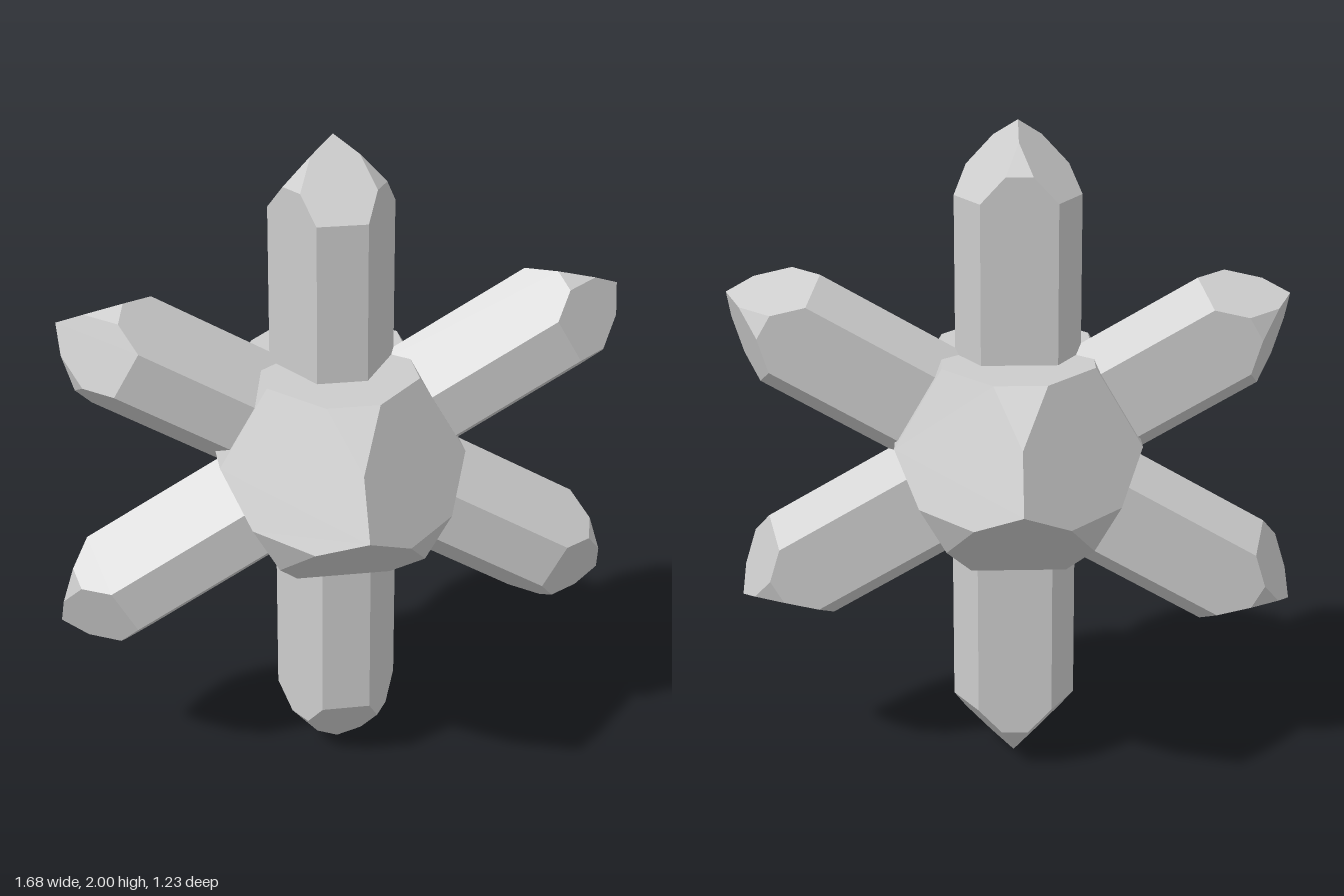
import * as THREE from 'three';
import { ConvexGeometry } from 'three/addons/geometries/ConvexGeometry.js';

// Six-sided crystal along y with alternating wide and narrow sides.
// Each tip has three main facets and three small facets between them.
function crystalGeometry({ wide, narrow, tip, slope, extra, doubleEnded }) {
  const planes = []; // n . p <= d
  for (let k = 0; k < 6; k++) {
    const a = k * Math.PI / 3, major = k % 2 === 0;
    const x = Math.sin(a), z = Math.cos(a), d = tip + (major ? 0 : extra);
    planes.push({ n: new THREE.Vector3(x, 0, z), d: major ? narrow : wide });
    planes.push({ n: new THREE.Vector3(x * slope, 1, z * slope), d });
    if (doubleEnded) planes.push({ n: new THREE.Vector3(x * slope, -1, z * slope), d });
  }
  if (!doubleEnded) planes.push({ n: new THREE.Vector3(0, -1, 0), d: 0 });

  // Corners are the points where three planes meet inside all the others
  const corners = [];
  for (let i = 0; i < planes.length; i++)
    for (let j = i + 1; j < planes.length; j++)
      for (let k = j + 1; k < planes.length; k++) {
        const [p, q, r] = [planes[i], planes[j], planes[k]];
        const qr = q.n.clone().cross(r.n), det = p.n.dot(qr);
        if (Math.abs(det) < 1e-6) continue;
        const v = qr.multiplyScalar(p.d)
          .addScaledVector(r.n.clone().cross(p.n), q.d)
          .addScaledVector(p.n.clone().cross(q.n), r.d)
          .divideScalar(det);
        if (planes.every(s => s.n.dot(v) <= s.d + 1e-6) && !corners.some(c => c.distanceTo(v) < 1e-4))
          corners.push(v);
      }
  return new ConvexGeometry(corners);
}

export function createModel() {
  const model = new THREE.Group();
  model.name = 'crystalCluster';
  const grey = new THREE.MeshStandardMaterial({ color: 0xcccccc });
  grey.name = 'lightGrey';

  // Large double-ended crystal running front to back
  const core = new THREE.Mesh(crystalGeometry({
    wide: 0.29, narrow: 0.337, tip: 0.615, slope: 1.3, extra: 0.102, doubleEnded: true,
  }), grey);
  core.name = 'coreCrystal';
  core.rotation.x = Math.PI / 2;
  core.position.set(-0.01, 1.025, 0);
  model.add(core);

  // Six radiating arms, clockwise from the top: [length, sideways shift]
  const arms = [[1.0, -0.013], [0.975, -0.017], [0.943, -0.02], [1.0, 0], [0.98, 0], [0.945, 0.013]];
  arms.forEach(([length, shift], i) => {
    const geometry = crystalGeometry({
      wide: 0.149, narrow: 0.171, tip: length, slope: 1.24, extra: 0.05, doubleEnded: false,
    });
    geometry.translate(shift, 0, 0);
    const arm = new THREE.Mesh(geometry, grey);
    arm.name = `armCrystal${i + 1}`;
    arm.rotation.z = -i * Math.PI / 3;
    arm.position.y = 1;
    model.add(arm);
  });

  return model;
}
